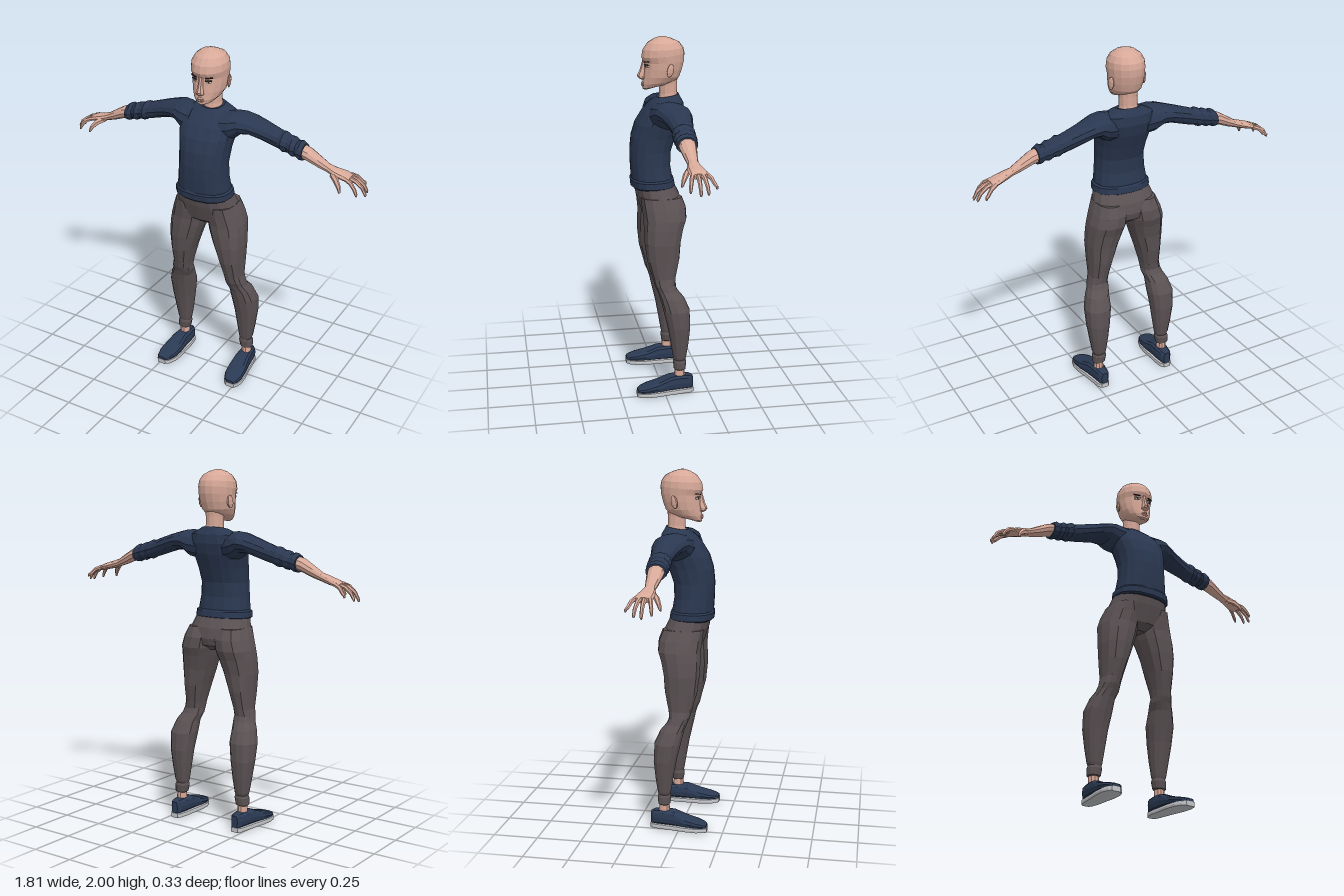
import * as THREE from 'three';

const mat = (name, color) => {
  const m = new THREE.MeshStandardMaterial({ color });
  m.name = name;
  return m;
};

// Faceted skin through a list of rings { c, u, v }: centre and two half-axes.
// power < 1 makes the section boxier.
function loft(rings, n = 12, power = 1) {
  const bend = (a) => Math.sign(a) * Math.abs(a) ** power;
  const pts = rings.map(({ c, u, v }) => Array.from({ length: n }, (_, j) => {
    const t = (j / n) * Math.PI * 2;
    return c.clone().addScaledVector(u, bend(Math.cos(t))).addScaledVector(v, bend(Math.sin(t)));
  }));
  const tris = [];
  const last = rings.length - 1;
  for (let j = 0; j < n; j++) {
    const k = (j + 1) % n;
    for (let i = 0; i < last; i++) {
      const [a, b, c, d] = [pts[i][j], pts[i][k], pts[i + 1][k], pts[i + 1][j]];
      tris.push([a, b, c], [a, c, d]);
    }
    tris.push([rings[0].c, pts[0][k], pts[0][j]], [rings[last].c, pts[last][j], pts[last][k]]);
  }
  // Signed volume tells whether the faces point outwards
  const o = rings[0].c;
  const rel = (p) => p.clone().sub(o);
  const volume = tris.reduce((s, [a, b, c]) => s + rel(a).dot(rel(b).cross(rel(c))), 0);
  const ordered = volume < 0 ? tris.map(([a, b, c]) => [a, c, b]) : tris;
  const geo = new THREE.BufferGeometry().setFromPoints(ordered.flat());
  geo.computeVertexNormals();
  return geo;
}

const V = (x, y, z) => new THREE.Vector3(x, y, z);
// Ring across the body: half-width, then front (y, z) and back (y, z)
const bodyRing = ([hx, yf, zf, yb, zb]) => ({
  c: V(0, (yf + yb) / 2, (zf + zb) / 2), u: V(hx, 0, 0), v: V(0, (yf - yb) / 2, (zf - zb) / 2),
});
// Level leg ring: y, inner x, outer x, front z, back z
const legRing = (s) => ([y, xi, xo, zf, zb]) => ({
  c: V(s * (xi + xo) / 2, y, (zf + zb) / 2), u: V((xo - xi) / 2, 0, 0), v: V(0, 0, (zf - zb) / 2),
});
// Upright arm ring: x, low y, high y, front z, back z
const armRing = (s) => ([x, y0, y1, zf, zb]) => ({
  c: V(s * x, (y0 + y1) / 2, (zf + zb) / 2), u: V(0, 0, (zf - zb) / 2), v: V(0, (y1 - y0) / 2, 0),
});
// Shoe ring: z, centre x, half-width, low y, high y
const shoeRing = (s) => ([z, x, hx, y0, y1]) => ({
  c: V(s * x, (y0 + y1) / 2, z), u: V(hx, 0, 0), v: V(0, (y1 - y0) / 2, 0),
});
// Finger rings along a path of [x, y, z, radius]
const fingerRings = (s, path) => path.map(([x, y, z, r], i) => {
  const a = path[Math.max(i - 1, 0)], b = path[Math.min(i + 1, path.length - 1)];
  const v = V(-s * (b[1] - a[1]), b[0] - a[0], 0).normalize().multiplyScalar(r);
  return { c: V(s * x, y, z), u: V(0, 0, r), v };
});

export function createModel() {
  const skin = mat('skin', 0xd6a898), shirt = mat('shirt navy', 0x2a3750), trousers = mat('trouser grey', 0x5b5254);
  const shoeBlue = mat('shoe navy', 0x2b3a54), soleGrey = mat('sole grey', 0xc4c5c9);
  const eyeWhite = mat('eye white', 0xd8d4d2), dark = mat('dark brown', 0x2c2422);

  const model = new THREE.Group();
  model.name = 'standingMan';
  const add = (name, geo, material, parent = model) => {
    const m = new THREE.Mesh(geo, material);
    m.name = name;
    parent.add(m);
    return m;
  };

  // Head, nose, lips and neck
  add('head', loft([
    [0.025, 1.712, 0.076, 1.735, 0], [0.05, 1.72, 0.087, 1.748, -0.06], [0.072, 1.745, 0.089, 1.765, -0.1],
    [0.087, 1.785, 0.084, 1.785, -0.118], [0.095, 1.83, 0.08, 1.825, -0.132], [0.098, 1.86, 0.079, 1.87, -0.143],
    [0.102, 1.89, 0.093, 1.91, -0.145], [0.098, 1.93, 0.086, 1.94, -0.138], [0.08, 1.965, 0.062, 1.97, -0.115],
    [0.05, 1.988, 0.025, 1.99, -0.07], [0.012, 2, -0.01, 2, -0.035],
  ].map(bodyRing), 16), skin);
  add('nose', loft([
    [0.012, 1.768, 0.092, 1.77, 0.06], [0.022, 1.776, 0.108, 1.78, 0.06], [0.02, 1.79, 0.117, 1.79, 0.06],
    [0.013, 1.82, 0.103, 1.82, 0.06], [0.012, 1.87, 0.088, 1.87, 0.06],
  ].map(bodyRing), 8), skin);
  add('lips', loft([
    [0.012, 1.732, 0.09, 1.732, 0.07], [0.024, 1.74, 0.096, 1.74, 0.06],
    [0.024, 1.745, 0.092, 1.745, 0.06], [0.02, 1.751, 0.096, 1.751, 0.06], [0.008, 1.758, 0.09, 1.758, 0.07],
  ].map(bodyRing), 10), skin);
  add('neck', loft([
    [0.06, 1.62, 0.005, 1.65, -0.112], [0.05, 1.69, -0.006, 1.7, -0.105],
    [0.05, 1.74, -0.005, 1.75, -0.105], [0.056, 1.78, 0.02, 1.8, -0.11],
  ].map(bodyRing), 12), skin);

  // Jersey body with a hem band and collar
  add('jerseyBody', loft([
    [0.155, 1.172, 0.148, 1.18, -0.082], [0.167, 1.18, 0.157, 1.188, -0.09], [0.164, 1.215, 0.16, 1.22, -0.084],
    [0.152, 1.225, 0.154, 1.228, -0.076], [0.142, 1.3, 0.159, 1.3, -0.064], [0.137, 1.38, 0.161, 1.38, -0.068],
    [0.143, 1.46, 0.153, 1.46, -0.095], [0.157, 1.53, 0.13, 1.54, -0.125], [0.168, 1.59, 0.09, 1.6, -0.138],
    [0.15, 1.635, 0.05, 1.65, -0.134], [0.1, 1.662, 0.02, 1.675, -0.12], [0.068, 1.672, 0.01, 1.692, -0.112],
    [0.056, 1.668, 0, 1.688, -0.106],
  ].map(bodyRing), 16, 0.85), shirt);

  // Trouser seat
  add('trouserSeat', loft([
    [0.06, 0.995, 0.05, 1, -0.07], [0.17, 1.03, 0.095, 1.03, -0.115], [0.195, 1.07, 0.108, 1.07, -0.125],
    [0.178, 1.13, 0.128, 1.13, -0.115], [0.155, 1.2, 0.142, 1.2, -0.08],
  ].map(bodyRing), 16, 0.85), trousers);

  for (const [side, s] of [['left', 1], ['right', -1]]) {
    const half = new THREE.Group();
    half.name = side + 'Side';
    model.add(half);
    const part = (name, geo, material) => add(side + name, geo, material, half);

    // Ear
    const ear = part('Ear', new THREE.SphereGeometry(1, 7, 5).toNonIndexed(), skin);
    ear.geometry.computeVertexNormals();
    ear.scale.set(0.01, 0.037, 0.021);
    ear.position.set(s * 0.1, 1.826, -0.05);
    ear.rotation.set(-0.2, s * 0.35, 0);

    // Eye, iris, lash line and brow as thin plates on the face
    const plate = (name, w, h, x, y, z, material, tilt = 0) => {
      const p = part(name, new THREE.BoxGeometry(w, h, 0.008), material);
      p.position.set(s * x, y, z);
      p.rotation.set(0, s * 0.45, s * tilt);
    };
    plate('Eye', 0.03, 0.01, 0.043, 1.845, 0.07, eyeWhite);
    plate('Iris', 0.01, 0.01, 0.042, 1.845, 0.0715, dark);
    plate('LashLine', 0.036, 0.004, 0.043, 1.852, 0.0715, dark);
    plate('Brow', 0.042, 0.005, 0.046, 1.868, 0.0725, dark, 0.1);

    // Sleeve with a rolled cuff
    part('Sleeve', loft([
      [0.09, 1.5, 1.66, 0.07, -0.12], [0.15, 1.515, 1.668, 0.065, -0.138], [0.19, 1.55, 1.665, 0.05, -0.145],
      [0.24, 1.552, 1.652, 0.028, -0.145], [0.3, 1.534, 1.635, 0.008, -0.136], [0.37, 1.512, 1.612, -0.005, -0.125],
      [0.41, 1.502, 1.598, -0.006, -0.122], [0.43, 1.49, 1.6, 0.002, -0.125], [0.46, 1.492, 1.583, -0.006, -0.118],
      [0.485, 1.478, 1.582, 0.004, -0.122], [0.51, 1.482, 1.567, -0.006, -0.114], [0.53, 1.468, 1.572, 0.002, -0.116],
      [0.552, 1.468, 1.558, -0.002, -0.112],
    ].map(armRing(s)), 12), shirt);

    // Forearm and palm
    part('Forearm', loft([
      [0.52, 1.485, 1.56, -0.012, -0.104], [0.58, 1.468, 1.542, -0.012, -0.1], [0.64, 1.445, 1.507, -0.022, -0.092],
      [0.69, 1.43, 1.476, -0.03, -0.086], [0.73, 1.418, 1.463, -0.02, -0.096], [0.78, 1.408, 1.448, -0.018, -0.114],
      [0.815, 1.402, 1.432, -0.024, -0.114],
    ].map(armRing(s)), 10), skin);

    // Fingers from little to index, each with root z, tip z, tip x and tip y
    const fingers = [
      ['LittleFinger', -0.104, -0.142, 0.868, 1.365], ['RingFinger', -0.082, -0.095, 0.898, 1.345],
      ['MiddleFinger', -0.06, -0.056, 0.904, 1.34], ['IndexFinger', -0.036, -0.012, 0.87, 1.35],
    ];
    for (const [name, z0, z1, tipX, tipY] of fingers) {
      const at = (f, y, r) => [0.795 + (tipX - 0.795) * f, y, z0 + (z1 - z0) * f, r];
      part(name, loft(fingerRings(s, [
        at(0, 1.424, 0.013), at(0.45, 1.412, 0.0115), at(0.8, 1.385, 0.01), at(0.97, tipY + 0.012, 0.008), at(1, tipY, 0.004),
      ]), 6), skin);
    }
    part('Thumb', loft(fingerRings(s, [
      [0.715, 1.437, -0.04, 0.018], [0.75, 1.418, -0.014, 0.017], [0.775, 1.39, 0.004, 0.012], [0.787, 1.362, 0.014, 0.006],
    ]), 6), skin);

    // Trouser leg with calf bulge and gathered cuff
    part('TrouserLeg', loft([
      [1.13, 0.03, 0.178, 0.115, -0.115], [1.07, 0.003, 0.204, 0.108, -0.138], [1.01, 0.012, 0.222, 0.101, -0.14],
      [0.96, 0.025, 0.228, 0.102, -0.122], [0.88, 0.052, 0.232, 0.1, -0.104], [0.78, 0.086, 0.226, 0.088, -0.094],
      [0.68, 0.112, 0.222, 0.06, -0.072], [0.64, 0.118, 0.232, 0.05, -0.066], [0.61, 0.118, 0.24, 0.036, -0.078],
      [0.57, 0.13, 0.262, 0.022, -0.112], [0.5, 0.132, 0.283, 0.006, -0.144], [0.4, 0.146, 0.28, -0.018, -0.148],
      [0.3, 0.158, 0.266, -0.036, -0.138], [0.215, 0.17, 0.252, -0.05, -0.125], [0.2, 0.174, 0.246, -0.054, -0.12],
      [0.185, 0.17, 0.252, -0.05, -0.126], [0.145, 0.178, 0.252, -0.054, -0.122], [0.14, 0.185, 0.245, -0.06, -0.115],
    ].map(legRing(s)), 12, 0.85), trousers);

    part('Ankle', loft([
      [0.17, 0.188, 0.242, -0.06, -0.115], [0.08, 0.186, 0.244, -0.055, -0.12],
    ].map(legRing(s)), 10), skin);

    // Shoe outline: z, centre x, half-width, top y
    const outline = [
      [-0.163, 0.212, 0.02, 0.095], [-0.145, 0.213, 0.035, 0.104], [-0.09, 0.214, 0.043, 0.11], [-0.03, 0.218, 0.048, 0.106],
      [0.04, 0.223, 0.057, 0.078], [0.1, 0.228, 0.056, 0.061], [0.14, 0.232, 0.042, 0.05], [0.158, 0.236, 0.024, 0.042],
    ];
    part('Shoe', loft(outline.map(([z, x, w, y]) => [z, x, w, 0.02, y]).map(shoeRing(s)), 12, 0.65), shoeBlue);
    part('Sole', loft(outline.map(([z, x, w]) => [z * 1.015, x, w + 0.002, 0, 0.027]).map(shoeRing(s)), 12, 0.25), soleGrey);
  }
  return model;
}
